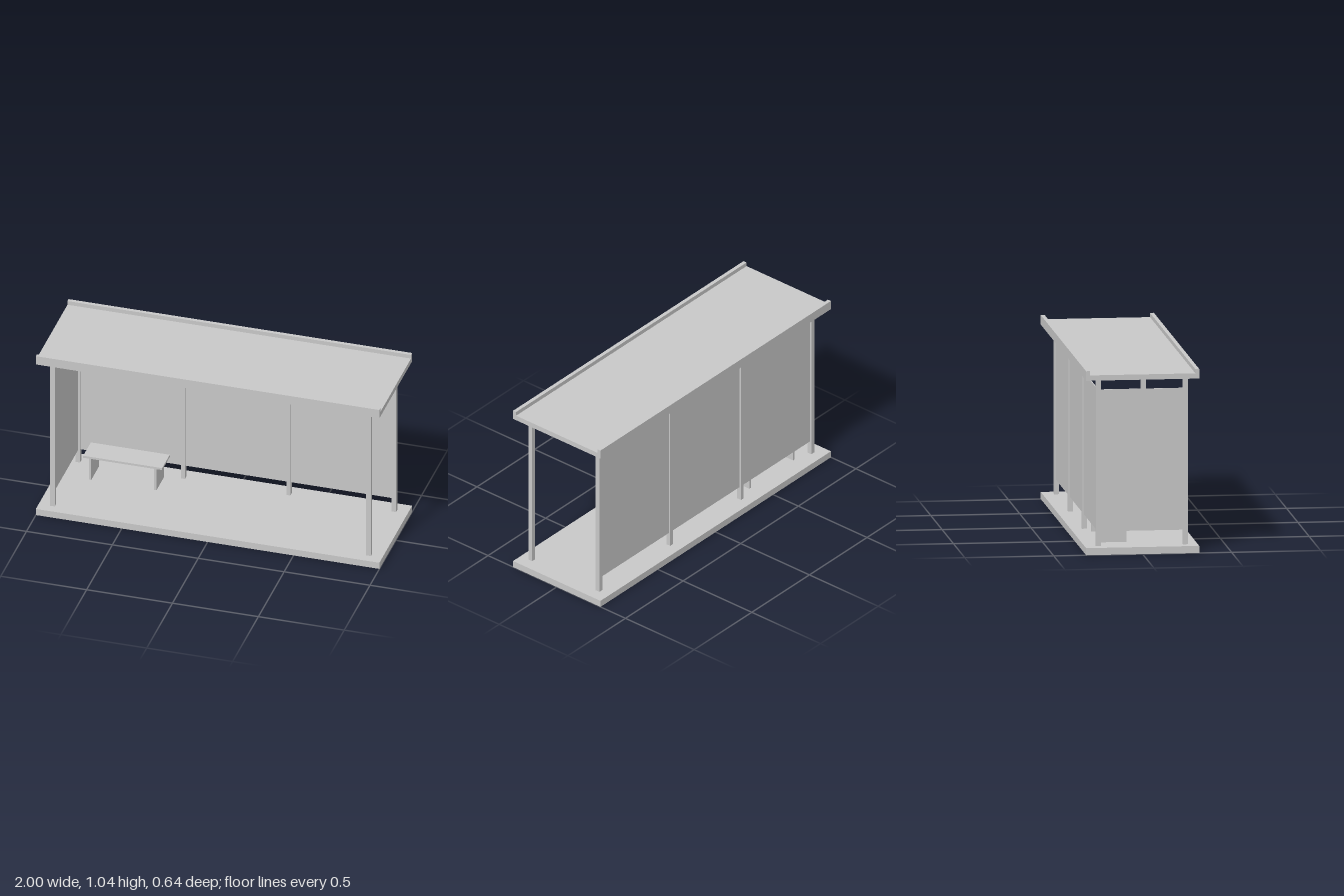
import * as THREE from 'three';

export function createModel() {
  const shelter = new THREE.Group();
  shelter.name = 'shelter';
  const grey = new THREE.MeshStandardMaterial({ color: 0xc8c8c8, side: THREE.DoubleSide });
  grey.name = 'grey';

  // Box given by its extents along each axis
  function box(name, [x0, x1], [y0, y1], [z0, z1], parent = shelter) {
    const mesh = new THREE.Mesh(new THREE.BoxGeometry(x1 - x0, y1 - y0, z1 - z0), grey);
    mesh.position.set((x0 + x1) / 2, (y0 + y1) / 2, (z0 + z1) / 2);
    mesh.name = name;
    parent.add(mesh);
    return mesh;
  }
  const around = (c, width) => [c - width / 2, c + width / 2];

  const floorTop = 0.04, roofBottom = 0.985;
  const cornerWidth = 0.027, middleWidth = 0.023, panelThickness = 0.006;
  const frontZ = 0.249, backZ = -0.2405;
  const posts = [
    { x: -0.92, width: cornerWidth }, { x: -0.307, width: middleWidth },
    { x: 0.307, width: middleWidth }, { x: 0.92, width: cornerWidth },
  ];

  // Floor: a hollow slab, open underneath (the fourth box face is the bottom)
  const floor = box('floor', [-1, 1], [0, floorTop], [-0.318, 0.318]);
  const faces = Array.from(floor.geometry.index.array);
  faces.splice(18, 6);
  floor.geometry.setIndex(faces);
  floor.geometry.clearGroups();

  // Roof: one extruded profile with a raised lip along front and back
  const profile = new THREE.Shape([
    [-0.318, roofBottom], [0.318, roofBottom], [0.318, 1.039], [0.296, 1.039],
    [0.296, 1.015], [-0.296, 1.015], [-0.296, 1.039], [-0.318, 1.039],
  ].map(([z, y]) => new THREE.Vector2(z, y)));
  const roofGeometry = new THREE.ExtrudeGeometry(profile, { depth: 2, bevelEnabled: false });
  roofGeometry.translate(0, 0, -1).rotateY(Math.PI / 2);
  const roof = new THREE.Mesh(roofGeometry, grey);
  roof.name = 'roof';
  shelter.add(roof);

  // Four back posts, two front corner posts
  const postY = [floorTop, roofBottom];
  for (const { x, width } of posts) {
    box('backPost', around(x, width), postY, around(backZ, cornerWidth));
  }
  for (const { x, width } of [posts[0], posts[3]]) {
    box('frontPost', around(x, width), postY, around(frontZ, cornerWidth));
  }

  // Wall panels between the posts: three at the back, one at the right end
  const panelY = [0.121, 0.922];
  for (let i = 0; i < 3; i++) {
    const a = posts[i], b = posts[i + 1];
    box('backPanel', [a.x + a.width / 2, b.x - b.width / 2], panelY, around(backZ, panelThickness));
  }
  box('sidePanel', around(posts[0].x, panelThickness), panelY,
    [backZ + cornerWidth / 2, frontZ - cornerWidth / 2]);

  // Bench with two plate legs
  const bench = new THREE.Group();
  bench.name = 'bench';
  shelter.add(bench);
  const benchX = -0.61, benchZ = [-0.216, -0.067], seatBottom = 0.177;
  box('seat', around(benchX, 0.46), [seatBottom, 0.19], benchZ, bench);
  for (const side of [-1, 1]) {
    box('benchLeg', around(benchX + side * 0.19, 0.014), [floorTop, seatBottom], benchZ, bench);
  }

  return shelter;
}
